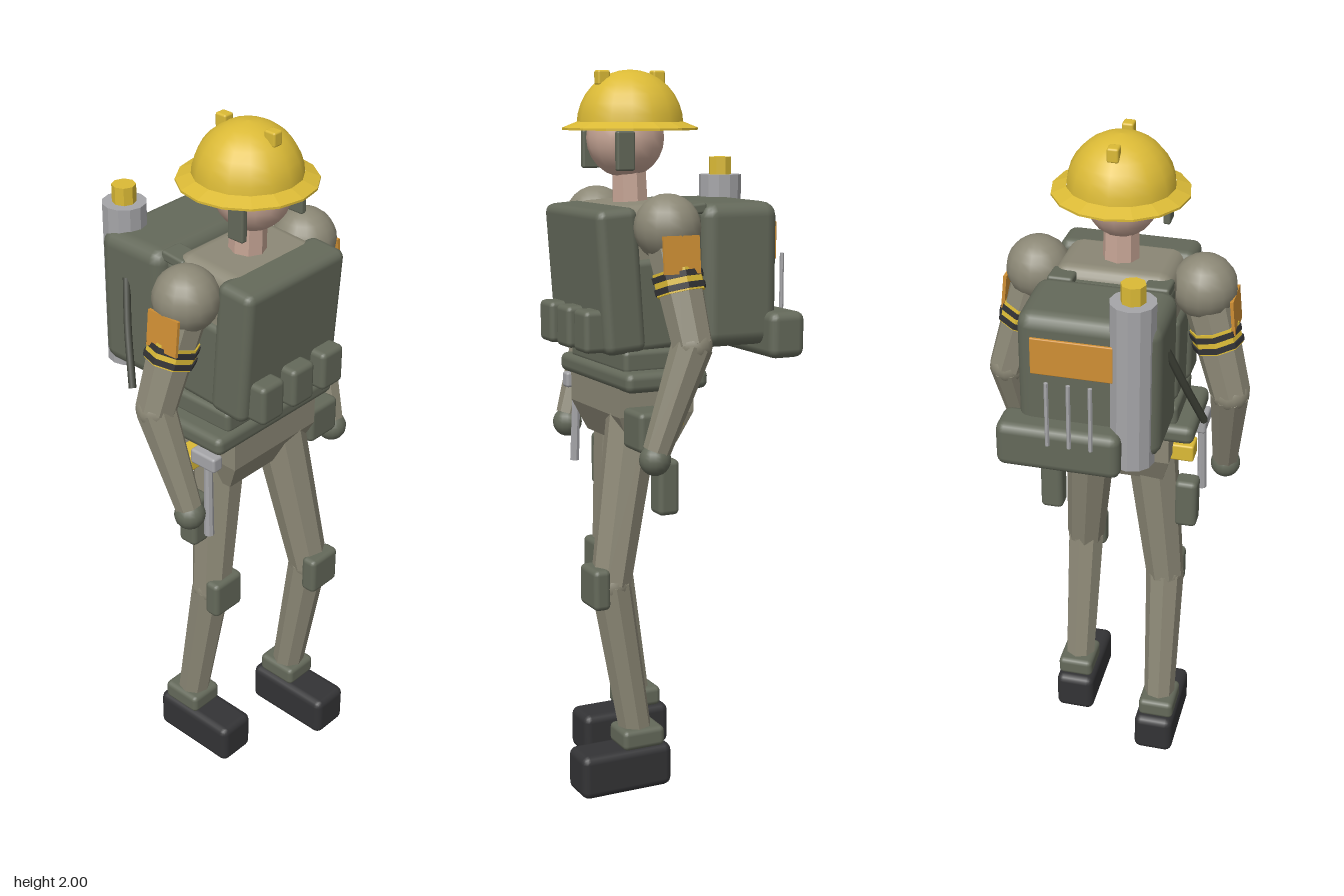
import * as THREE from 'three';
import { RoundedBoxGeometry } from 'three/addons/geometries/RoundedBoxGeometry.js';

const mat = (name, color) => {
  const m = new THREE.MeshStandardMaterial({ color });
  m.name = name;
  return m;
};

export function createModel() {
  const model = new THREE.Group();
  const cloth = mat('uniform olive', 0x8c8876);
  const gear = mat('gear green', 0x64695a);
  const black = mat('boot black', 0x333335);
  const yellow = mat('safety yellow', 0xdbba36);
  const skin = mat('skin', 0xc6a595);
  const grey = mat('steel grey', 0xa5a5a8);
  const orange = mat('patch orange', 0xcf8f34);
  const hoseMat = mat('hose dark green', 0x3f4238);

  const add = (name, geo, material, x = 0, y = 0, z = 0, rz = 0) => {
    const m = new THREE.Mesh(geo, material);
    m.name = name;
    m.position.set(x, y, z);
    m.rotation.z = rz;
    model.add(m);
    return m;
  };

  // Bevelled box given by its limits on each axis
  const box = (name, material, [x0, x1], [y0, y1], [z0, z1], r = 0.015, rz = 0) => {
    const s = [x1 - x0, y1 - y0, z1 - z0];
    const geo = new RoundedBoxGeometry(...s, 2, Math.min(r, Math.min(...s) * 0.45));
    return add(name, geo, material, (x0 + x1) / 2, (y0 + y1) / 2, (z0 + z1) / 2, rz);
  };

  // Faceted tapered tube from point a to point b
  const limb = (name, material, a, b, ra, rb, sides = 8) => {
    const va = new THREE.Vector3(...a), vb = new THREE.Vector3(...b);
    const dir = vb.clone().sub(va);
    const geo = new THREE.CylinderGeometry(rb, ra, dir.length(), sides).toNonIndexed();
    geo.computeVertexNormals();
    const mid = va.add(vb).multiplyScalar(0.5);
    const m = add(name, geo, material, mid.x, mid.y, mid.z);
    m.quaternion.setFromUnitVectors(new THREE.Vector3(0, 1, 0), dir.normalize());
    return m;
  };

  const ball = (name, material, x, y, z, r) =>
    add(name, new THREE.SphereGeometry(r, 16, 12), material, x, y, z);

  // Head and helmet
  ball('head', skin, 0.11, 1.815, 0, 0.108).scale.z = 0.94;
  limb('neck', skin, [0.095, 1.6, 0], [0.1, 1.76, 0], 0.052, 0.048);
  const dome = [];
  for (let i = 0; i <= 8; i++) {
    const a = (i / 8) * Math.PI / 2;
    dome.push(new THREE.Vector2(0.146 * Math.cos(a), 1.85 + 0.147 * Math.sin(a)));
  }
  add('helmetDome', new THREE.LatheGeometry(dome, 16), yellow, 0.095);
  const brim = [[0, 1.836], [0.186, 1.836], [0.186, 1.842], [0.146, 1.858]]
    .map(p => new THREE.Vector2(...p));
  const brimGeo = new THREE.LatheGeometry(brim, 16).toNonIndexed();
  brimGeo.computeVertexNormals();
  add('helmetBrim', brimGeo, yellow, 0.095);
  for (const x of [0.013, 0.178])
    box('helmetLug', yellow, [x - 0.018, x + 0.018], [1.955, 1.995], [-0.016, 0.016], 0.006);

  // Torso with front and back armour
  box('torso', cloth, [-0.03, 0.2], [1.22, 1.645], [-0.165, 0.165], 0.04, -0.06);
  box('frontPlate', gear, [0.145, 0.265], [1.245, 1.635], [-0.19, 0.19], 0.025, -0.07);
  box('backPlate', gear, [-0.055, 0.03], [1.245, 1.62], [-0.165, 0.165], 0.02, -0.05);
  box('waist', gear, [-0.01, 0.2], [1.19, 1.255], [-0.185, 0.185], 0.015);
  box('belt', gear, [-0.03, 0.215], [1.145, 1.2], [-0.235, 0.235], 0.02);
  box('sideVest', gear, [0.02, 0.18], [1.25, 1.5], [-0.178, 0.178], 0.02, -0.06);

  // Pelvis narrows toward the crotch
  const pelvisGeo = new THREE.BoxGeometry(0.225, 0.17, 0.33, 1, 2, 1);
  const p = pelvisGeo.attributes.position;
  for (let i = 0; i < p.count; i++) if (p.getY(i) < -0.01) {
    p.setX(i, p.getX(i) * 0.65);
    p.setZ(i, p.getZ(i) * 0.86);
  }
  const pelvisFlat = pelvisGeo.toNonIndexed();
  pelvisFlat.computeVertexNormals();
  add('pelvis', pelvisFlat, cloth, 0.095, 1.07, 0);

  for (const z of [-0.12, 0, 0.12])
    box('chestPouch', gear, [0.235, 0.305], [1.25, 1.365], [z - 0.043, z + 0.043]);

  // Parts that repeat on both sides
  for (const s of [1, -1]) {
    const zs = (a, b) => s > 0 ? [a, b] : [-b, -a];
    const shoulder = [0.095, 1.585, s * 0.23];
    const elbow = [0.065, 1.28, s * 0.318];
    const wrist = [0.16, 1.0, s * 0.298];
    const along = t => shoulder.map((v, i) => v + (elbow[i] - v) * t);

    box('earPad', gear, [0.137, 0.19], [1.73, 1.835], zs(0.104, 0.124), 0.006);
    box('frontStrap', gear, [0.205, 0.262], [1.585, 1.615], zs(0.095, 0.165), 0.008, -0.15);
    box('backStrap', gear, [-0.06, 0.02], [1.61, 1.64], zs(0.095, 0.165), 0.008, -0.1);

    ball('shoulder', cloth, ...shoulder, 0.09);
    limb('upperArm', cloth, shoulder, elbow, 0.07, 0.056);
    ball('elbow', cloth, ...elbow, 0.054);
    limb('forearm', cloth, elbow, wrist, 0.056, 0.038);
    ball('hand', gear, 0.165, 0.977, s * 0.298, 0.043);
    limb('armBand', yellow, along(0.37), along(0.56), 0.069, 0.068);
    for (const t of [0.42, 0.52])
      limb('armBandStripe', black, along(t - 0.025), along(t + 0.025), 0.073, 0.072);
    const patch = add('armPatch', new THREE.BoxGeometry(0.105, 0.1, 0.009), orange,
      0.097, 1.52, s * 0.318);
    patch.rotation.x = -s * 0.1;

    // Legs: the +z leg trails, the other steps forward
    const back = s > 0;
    const hip = [back ? 0.085 : 0.135, 1.06, s * 0.095];
    const knee = [back ? 0.095 : 0.225, 0.6, s * 0.14];
    const ankle = [back ? 0.02 : 0.15, 0.14, s * 0.145];
    limb('thigh', cloth, hip, knee, 0.075, 0.057);
    ball('knee', cloth, ...knee, 0.055);
    limb('shin', cloth, knee, ankle, 0.057, 0.046);
    const kx = knee[0] + 0.045, ax = ankle[0];
    box('kneePad', gear, [kx - 0.025, kx + 0.025], [0.54, 0.655], zs(0.082, 0.192));
    box('ankleCuff', gear, [ax - 0.065, ax + 0.062], [0.122, 0.18], zs(0.092, 0.2));
    box('boot', black, [ax - 0.087, ax + 0.187], [0, 0.125], zs(0.083, 0.203), 0.022);
    box('thighPouch', gear, [0.057, 0.12], [0.8, 0.955], zs(0.168, 0.235));
    box('beltBox', yellow, [0.04, 0.1], [1.045, 1.097], zs(0.155, 0.225), 0.006);
  }

  // Belt pouch and hammer
  box('beltPouch', gear, [0.1, 0.2], [0.99, 1.1], [-0.28, -0.165]);
  limb('hammerHandle', grey, [0.172, 0.875, 0.23], [0.165, 1.12, 0.225], 0.014, 0.012);
  box('hammerHead', grey, [0.115, 0.203], [1.095, 1.14], [0.208, 0.244], 0.008);

  // Backpack
  box('backpack', gear, [-0.272, -0.04], [1.245, 1.642], [-0.193, 0.19], 0.04);
  box('lowerPack', gear, [-0.333, -0.223], [1.21, 1.34], [-0.24, 0.097], 0.025);
  box('packPanel', orange, [-0.285, -0.276], [1.48, 1.585], [-0.15, 0.07], 0.003);
  limb('tank', grey, [-0.245, 1.23, 0.113], [-0.245, 1.705, 0.113], 0.061, 0.061, 12);
  limb('tankValve', yellow, [-0.245, 1.7, 0.113], [-0.245, 1.755, 0.113], 0.033, 0.033, 8);
  for (const z of [-0.093, -0.035, 0.023])
    limb('rod', grey, [-0.336, 1.3, z], [-0.336, 1.49, z], 0.006, 0.006, 6);
  const hose = new THREE.CatmullRomCurve3([[-0.17, 1.53, 0.185], [-0.13, 1.41, 0.225], [-0.07, 1.265, 0.272]]
    .map(q => new THREE.Vector3(...q)));
  add('hose', new THREE.TubeGeometry(hose, 8, 0.011, 6), hoseMat);

  return model;
}
